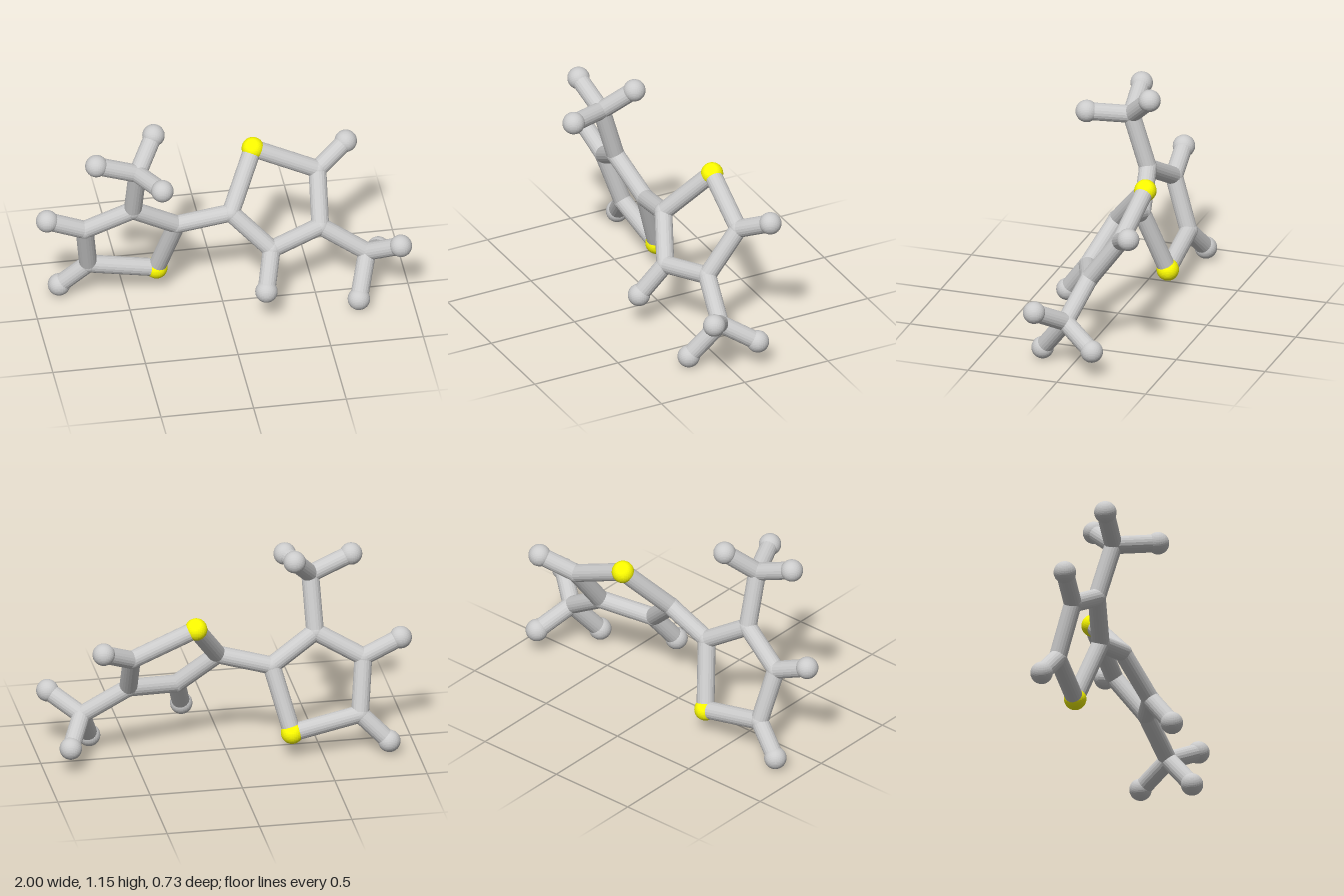
import * as THREE from 'three';

// Atom centres: [x, y, z]
const atoms = {
  // first five-membered ring
  sulfurA: [-0.33, 0.145, -0.165],
  carbonA2: [-0.24, 0.495, -0.05],
  carbonA3: [-0.485, 0.65, 0],
  carbonA4: [-0.735, 0.51, -0.06],
  carbonA5: [-0.70, 0.22, -0.155],
  hydrogenA4: [-0.94, 0.60, -0.045],
  hydrogenA5: [-0.85, 0.07, -0.20],
  // its methyl group
  carbonMethylA: [-0.475, 0.95, 0.09],
  hydrogenMethylA1: [-0.70, 1.04, 0.11],
  hydrogenMethylA2: [-0.365, 1.09, -0.05],
  hydrogenMethylA3: [-0.377, 0.977, 0.308],
  // second five-membered ring
  sulfurB: [0.20, 0.82, -0.222],
  carbonB2: [0.045, 0.565, -0.01],
  carbonB3: [0.25, 0.37, 0.085],
  carbonB4: [0.53, 0.415, -0.02],
  carbonB5: [0.545, 0.66, -0.20],
  hydrogenB3: [0.20, 0.192, 0.217],
  hydrogenB5: [0.715, 0.752, -0.303],
  // its methyl group
  carbonMethylB: [0.775, 0.255, 0.03],
  hydrogenMethylB1: [0.937, 0.357, 0.15],
  hydrogenMethylB2: [0.865, 0.145, -0.15],
  hydrogenMethylB3: [0.705, 0.061, 0.182],
};

const bonds = [
  // rings
  ['sulfurA', 'carbonA2'], ['carbonA2', 'carbonA3'], ['carbonA3', 'carbonA4'],
  ['carbonA4', 'carbonA5'], ['carbonA5', 'sulfurA'],
  ['sulfurB', 'carbonB2'], ['carbonB2', 'carbonB3'], ['carbonB3', 'carbonB4'],
  ['carbonB4', 'carbonB5'], ['carbonB5', 'sulfurB'],
  // link between the rings
  ['carbonA2', 'carbonB2'],
  // side bonds
  ['carbonA4', 'hydrogenA4'], ['carbonA5', 'hydrogenA5'], ['carbonA3', 'carbonMethylA'],
  ['carbonB3', 'hydrogenB3'], ['carbonB5', 'hydrogenB5'], ['carbonB4', 'carbonMethylB'],
];
for (const s of ['A', 'B'])
  for (const i of [1, 2, 3]) bonds.push(['carbonMethyl' + s, `hydrogenMethyl${s}${i}`]);

const BOND_RADIUS = 0.048, CARBON_RADIUS = 0.05, BALL_RADIUS = 0.06;

export function createModel() {
  const model = new THREE.Group();
  model.name = 'molecule';
  const grey = new THREE.MeshStandardMaterial({ color: 0xcccccc, flatShading: true });
  const yellow = new THREE.MeshStandardMaterial({ color: 0xffff00, flatShading: true });
  const ball = new THREE.SphereGeometry(BALL_RADIUS, 32, 20);
  const joint = new THREE.SphereGeometry(CARBON_RADIUS, 32, 20);
  const rod = new THREE.CylinderGeometry(BOND_RADIUS, BOND_RADIUS, 1, 20, 1, false);
  const up = new THREE.Vector3(0, 1, 0);

  // atoms
  for (const [name, p] of Object.entries(atoms)) {
    const mesh = new THREE.Mesh(
      name.startsWith('carbon') ? joint : ball,
      name.startsWith('sulfur') ? yellow : grey);
    mesh.name = name;
    mesh.position.set(...p);
    model.add(mesh);
  }

  // bonds run from centre to centre
  for (const [a, b] of bonds) {
    const from = new THREE.Vector3(...atoms[a]);
    const to = new THREE.Vector3(...atoms[b]);
    const dir = to.clone().sub(from);
    const mesh = new THREE.Mesh(rod, grey);
    mesh.name = `bond ${a} to ${b}`;
    mesh.scale.y = dir.length();
    mesh.position.copy(from).add(to).multiplyScalar(0.5);
    mesh.quaternion.setFromUnitVectors(up, dir.normalize());
    model.add(mesh);
  }
  return model;
}
